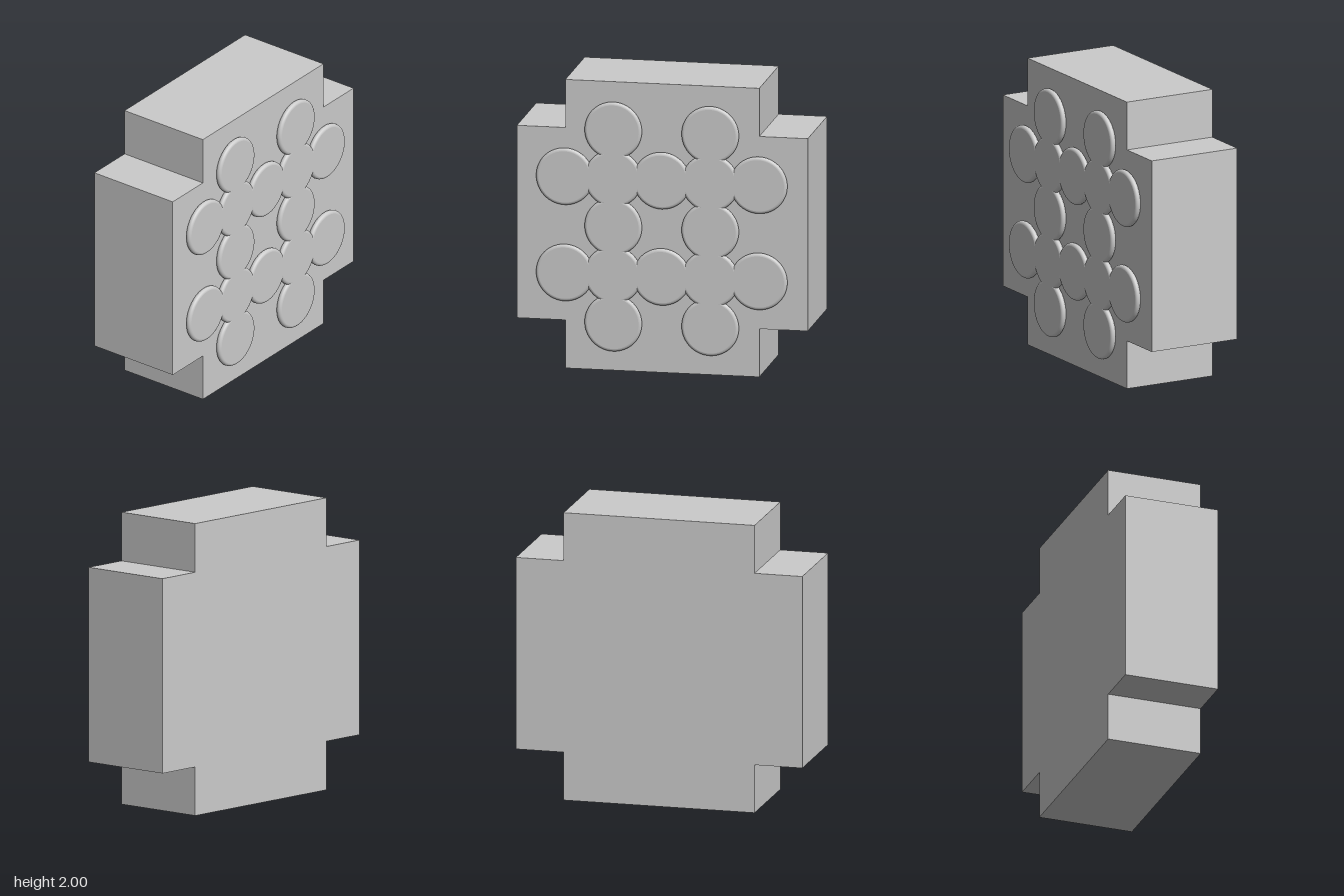
import * as THREE from 'three';

const UNIT = 1 / 3;
const BACK = -0.353, FACE = 0.313, RAISE = 0.04;

export function createModel() {
  const group = new THREE.Group();
  const material = new THREE.MeshStandardMaterial({ color: 0xcccccc });

  // Cross-shaped block: a square with its four corners notched
  const a = 2 * UNIT;
  const outline = [
    [-a, -1], [a, -1], [a, -a], [1, -a], [1, a], [a, a],
    [a, 1], [-a, 1], [-a, a], [-1, a], [-1, -a], [-a, -a],
  ].map(([x, y]) => new THREE.Vector2(x, y + 1));
  const blockGeometry = new THREE.ExtrudeGeometry(new THREE.Shape(outline), {
    depth: FACE - BACK, bevelEnabled: false,
  });
  const block = new THREE.Mesh(blockGeometry, material);
  block.name = 'block';
  block.position.z = BACK;
  group.add(block);

  // Flat disc with a half-round rim, turned to face the front
  const radius = 0.197, rim = RAISE / 2;
  const profile = [];
  for (let i = 0; i <= 10; i++) {
    const t = -Math.PI / 2 + (Math.PI * i) / 10;
    profile.push(new THREE.Vector2(radius - rim + rim * Math.cos(t), rim + rim * Math.sin(t)));
  }
  const rimGeometry = new THREE.LatheGeometry(profile, 64).rotateX(Math.PI / 2);
  const capGeometry = new THREE.CircleGeometry(radius - rim, 64).translate(0, 0, RAISE);

  // Discs lie along two columns and two rows of a grid
  const discs = new THREE.Group();
  discs.name = 'discPattern';
  for (let i = -2; i <= 2; i++) {
    for (let j = -2; j <= 2; j++) {
      if (Math.abs(i) !== 1 && Math.abs(j) !== 1) continue;
      const disc = new THREE.Group();
      disc.name = 'disc';
      disc.position.set(i * UNIT, 1 + j * UNIT, FACE);
      const rimMesh = new THREE.Mesh(rimGeometry, material);
      rimMesh.name = 'discRim';
      const capMesh = new THREE.Mesh(capGeometry, material);
      capMesh.name = 'discFace';
      disc.add(rimMesh, capMesh);
      discs.add(disc);
    }
  }
  group.add(discs);
  return group;
}
